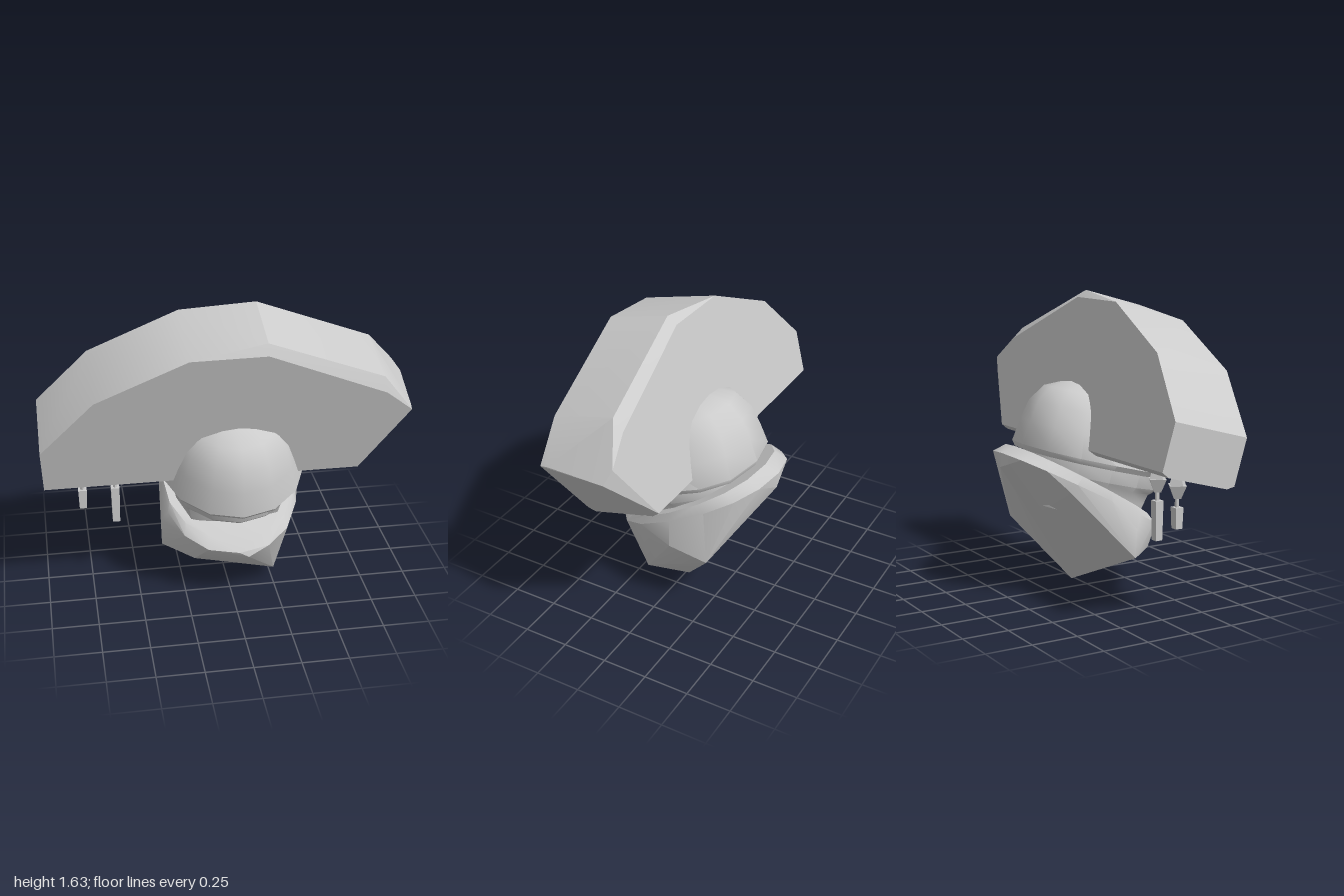
import * as THREE from 'three';
import { toCreasedNormals } from 'three/addons/utils/BufferGeometryUtils.js';
import { ConvexGeometry } from 'three/addons/geometries/ConvexGeometry.js';

const material = new THREE.MeshStandardMaterial({ color: 0xcccccc });
const V = (x, y, z) => new THREE.Vector3(x, y, z);

function addMesh(parent, name, geometry, crease = 0.5) {
  const mesh = new THREE.Mesh(toCreasedNormals(geometry, crease), material);
  mesh.name = name;
  parent.add(mesh);
  return mesh;
}

// Moves every vertex of a geometry by a rule
function warp(geometry, rule) {
  const p = geometry.attributes.position;
  for (let i = 0; i < p.count; i++) p.setXYZ(i, ...rule(p.getX(i), p.getY(i), p.getZ(i)));
  return geometry;
}

// Rounded-square ring lying on a plane that slopes from its front to its back
function ring(front, back, halfWidth, count = 16) {
  const points = [];
  const round = (t) => Math.sign(t) * Math.pow(Math.abs(t), 0.88);
  for (let i = 0; i < count; i++) {
    const a = (i / count) * Math.PI * 2;
    const t = (1 - round(Math.cos(a))) / 2;
    points.push(V(
      0.03 + halfWidth * round(Math.sin(a)),
      THREE.MathUtils.lerp(front[1], back[1], t),
      THREE.MathUtils.lerp(front[0], back[0], t)
    ));
  }
  return points;
}

// Wide fan-shaped crest: inner outline in the middle, bevelled outline on both faces
function addCrest(group) {
  const middle = [[-1, 0.25], [-0.72, 0.56], [-0.24, 0.79], [0.16, 0.845], [0.79, 0.585], [0.7, -0.02], [-0.99, -0.02]];
  const face = [[-1, 0.25], [-0.72, 0.56], [-0.24, 0.79], [0.16, 0.795], [0.8, 0.51], [0.95, 0.385], [0.7, 0], [-0.99, 0]];
  const points = [V(1, 0.325, -0.18), V(0.955, 0.385, 0.18)];
  for (const side of [-1, 1]) {
    middle.forEach(([x, y]) => points.push(V(x, y, side * 0.18)));
    face.forEach(([x, y]) => points.push(V(x, y, side * 0.222)));
  }
  const crest = addMesh(group, 'crest', new ConvexGeometry(points), 0.5);
  crest.position.set(0, 0.767, 0.045);
  crest.rotation.x = 0.26;
}

// Domed cap with a thin rim, and the face below it, cut back under the brow
function addCapAndFace(group) {
  const head = new THREE.Group();
  head.name = 'head';
  head.position.set(0.03, 0.71, 0.065);
  head.rotation.x = 0.253;
  group.add(head);

  const lathe = (profile) => new THREE.LatheGeometry(profile.map(([r, y]) => new THREE.Vector2(r, y)), 14);

  // The cap narrows and leans back towards its top, and is squarer behind
  const cap = warp(lathe([
    [0.37, -0.03], [0.44, -0.028], [0.46, 0], [0.435, 0.13], [0.405, 0.24], [0.335, 0.335], [0.2, 0.395], [0, 0.41],
  ]), (x, y, z) => {
    const r = Math.hypot(x, z) || 1;
    const square = z < 0 ? Math.pow(Math.abs(x / r) + 1e-6, -0.25) : 1;
    return [x * square * (0.87 - 0.26 * Math.max(y, 0)), y, z - 0.09 * Math.max(y, 0)];
  });
  addMesh(head, 'cap', cap, 0.8);

  const face = warp(
    lathe([[0, -0.3], [0.33, -0.3], [0.355, -0.19], [0.37, -0.13], [0.395, -0.1], [0.4, -0.02]]),
    (x, y, z) => [x * 0.88, y, y < -0.15 ? Math.min(z, 0.24) : z]
  );
  addMesh(head, 'face', face, 0.6);
}

// Sloping jaw and neck wrap, cut off flat behind and below
function addJaw(group) {
  const lip = ring([0.34, 0.37], [-0.43, 0.82], 0.37);
  const band = ring([0.4, 0.31], [-0.51, 0.79], 0.385);
  const cut = [
    // lower corners and right side
    V(0.14, 0, -0.02), V(0.26, 0.06, 0.18), V(-0.36, 0.22, 0.09), V(0.4, 0.345, -0.275),
    V(0.37, 0.32, 0.085), V(0.44, 0.41, -0.07), V(0.29, 0.17, 0.16),
    // chin
    V(-0.2, 0.22, 0.27), V(0.17, 0.13, 0.25), V(0.1, 0.19, 0.32), V(0.08, 0.28, 0.4),
    V(-0.36, 0.38, 0.1),
    // top of the flat cut behind
    V(0.1, 0.64, -0.46), V(-0.305, 0.63, -0.3), V(0.05, 0.71, -0.51),
  ];
  addMesh(group, 'jaw', new ConvexGeometry([...lip, ...band, ...cut]), 0.5);
}

// Hanging ornament: faceted bead, stem and tapered blade
function addPendant(group, x, bottom) {
  const pendant = new THREE.Group();
  pendant.name = 'pendant';
  pendant.position.set(x, 0, 0.06);
  group.add(pendant);

  const bead = addMesh(pendant, 'bead', new THREE.CylinderGeometry(0.06, 0.025, 0.07, 4), 0.1);
  bead.position.y = 0.67;
  bead.rotation.y = 0.3;
  addMesh(pendant, 'hook', new THREE.CylinderGeometry(0.03, 0.05, 0.06, 4), 0.1).position.y = 0.735;
  addMesh(pendant, 'stem', new THREE.CylinderGeometry(0.012, 0.012, 0.08, 5)).position.y = 0.615;

  const top = 0.59;
  const blade = new THREE.CylinderGeometry(0.033, 0.028, top - bottom, 4).rotateY(Math.PI / 4);
  addMesh(pendant, 'blade', blade, 0.1).position.y = (top + bottom) / 2;
}

export function createModel() {
  const group = new THREE.Group();
  addCrest(group);
  addCapAndFace(group);
  addJaw(group);
  addPendant(group, -0.785, 0.48);
  addPendant(group, -0.607, 0.38);
  return group;
}
